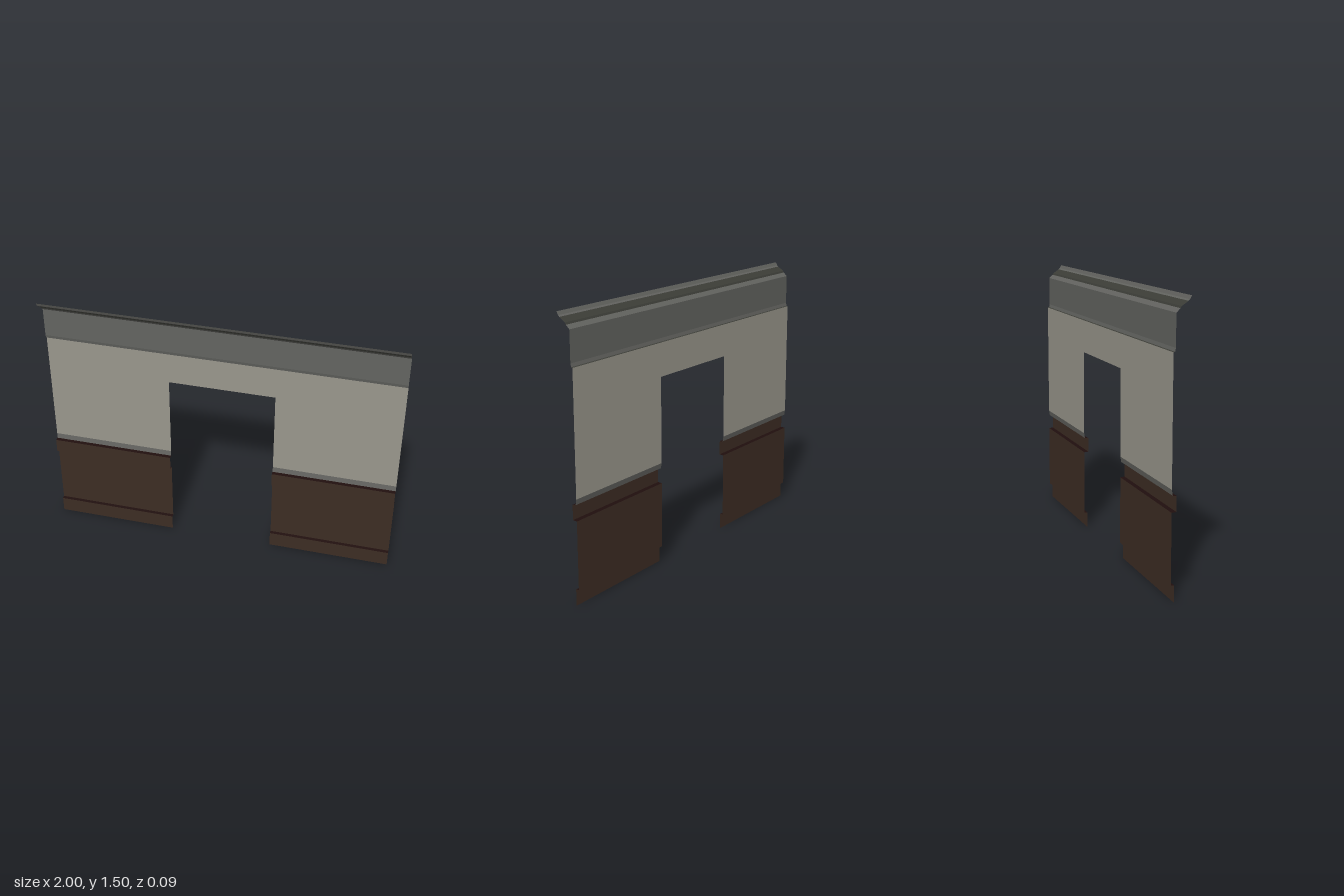
import * as THREE from 'three';

const flat = (name, color) => {
  const m = new THREE.MeshStandardMaterial({ color, side: THREE.DoubleSide });
  m.name = name;
  return m;
};

// Open sheet: a [z, y] profile, listed upwards, swept from x0 to x1 with hard edges
function sheet(profile, x0, x1) {
  const pos = [];
  for (let i = 0; i + 1 < profile.length; i++) {
    const [za, ya] = profile[i];
    const [zb, yb] = profile[i + 1];
    pos.push(x0, ya, za, x1, ya, za, x1, yb, zb);
    pos.push(x0, ya, za, x1, yb, zb, x0, yb, zb);
  }
  const geo = new THREE.BufferGeometry();
  geo.setAttribute('position', new THREE.Float32BufferAttribute(pos, 3));
  geo.computeVertexNormals();
  return geo;
}

export function createModel() {
  const plaster = flat('warm grey plaster', 0x99968c);
  const trim = flat('grey trim', 0x636460);
  const darkTrim = flat('dark olive trim', 0x3c3d37);
  const wood = flat('dark brown wood', 0x3c2c23);
  const woodShade = flat('blackish brown edge', 0x200f0e);

  const W = 1, DOOR = 0.3, DOOR_TOP = 1.055;
  const WALL = -0.045, BASE = -0.027, RAIL = -0.02, FRIEZE = -0.033;

  const group = new THREE.Group();
  group.name = 'doorwayWall';
  const add = (name, mat, profile, x0 = -W, x1 = W) => {
    const mesh = new THREE.Mesh(sheet(profile, x0, x1), mat);
    mesh.name = name;
    group.add(mesh);
  };

  // Wainscot on each side of the doorway
  for (const [side, x0, x1] of [['right', -W, -DOOR], ['left', DOOR, W]]) {
    add(side + 'Baseboard', wood, [[BASE, 0], [BASE, 0.09]], x0, x1);
    add(side + 'BaseboardTop', woodShade, [[BASE, 0.09], [WALL, 0.092]], x0, x1);
    add(side + 'Panel', wood, [[WALL, 0.092], [WALL, 0.46]], x0, x1);
    add(side + 'RailUnderside', woodShade, [[WALL, 0.46], [RAIL, 0.462]], x0, x1);
    add(side + 'ChairRail', wood, [[RAIL, 0.462], [RAIL, 0.543]], x0, x1);
    add(side + 'RailTop', woodShade, [[RAIL, 0.543], [-0.04, 0.545]], x0, x1);
    add(side + 'RailMoulding', trim, [[-0.04, 0.545], [WALL, 0.575]], x0, x1);
  }

  // Plaster wall with the door opening cut out
  const s = new THREE.Shape([
    [-W, 0.575], [-DOOR, 0.575], [-DOOR, DOOR_TOP], [DOOR, DOOR_TOP],
    [DOOR, 0.575], [W, 0.575], [W, 1.24], [-W, 1.24],
  ].map(([x, y]) => new THREE.Vector2(x, y)));
  const wall = new THREE.Mesh(new THREE.ShapeGeometry(s), plaster);
  wall.name = 'plasterWall';
  wall.position.z = WALL;
  group.add(wall);

  // Frieze and its lower bead
  add('friezeUnderside', darkTrim, [[WALL, 1.24], [-0.037, 1.242]]);
  add('friezeBead', trim, [[-0.037, 1.242], [FRIEZE, 1.26]]);
  add('frieze', trim, [[FRIEZE, 1.26], [FRIEZE, 1.425]]);

  // Cornice flaring forward to the lip
  add('corniceLowerCove', trim, [[FRIEZE, 1.425], [-0.012, 1.445]]);
  add('corniceFillet', darkTrim, [[-0.012, 1.445], [-0.006, 1.455], [0.028, 1.478]]);
  add('corniceLip', trim, [[0.028, 1.478], [0.036, 1.485], [0.045, 1.503]]);

  return group;
}
